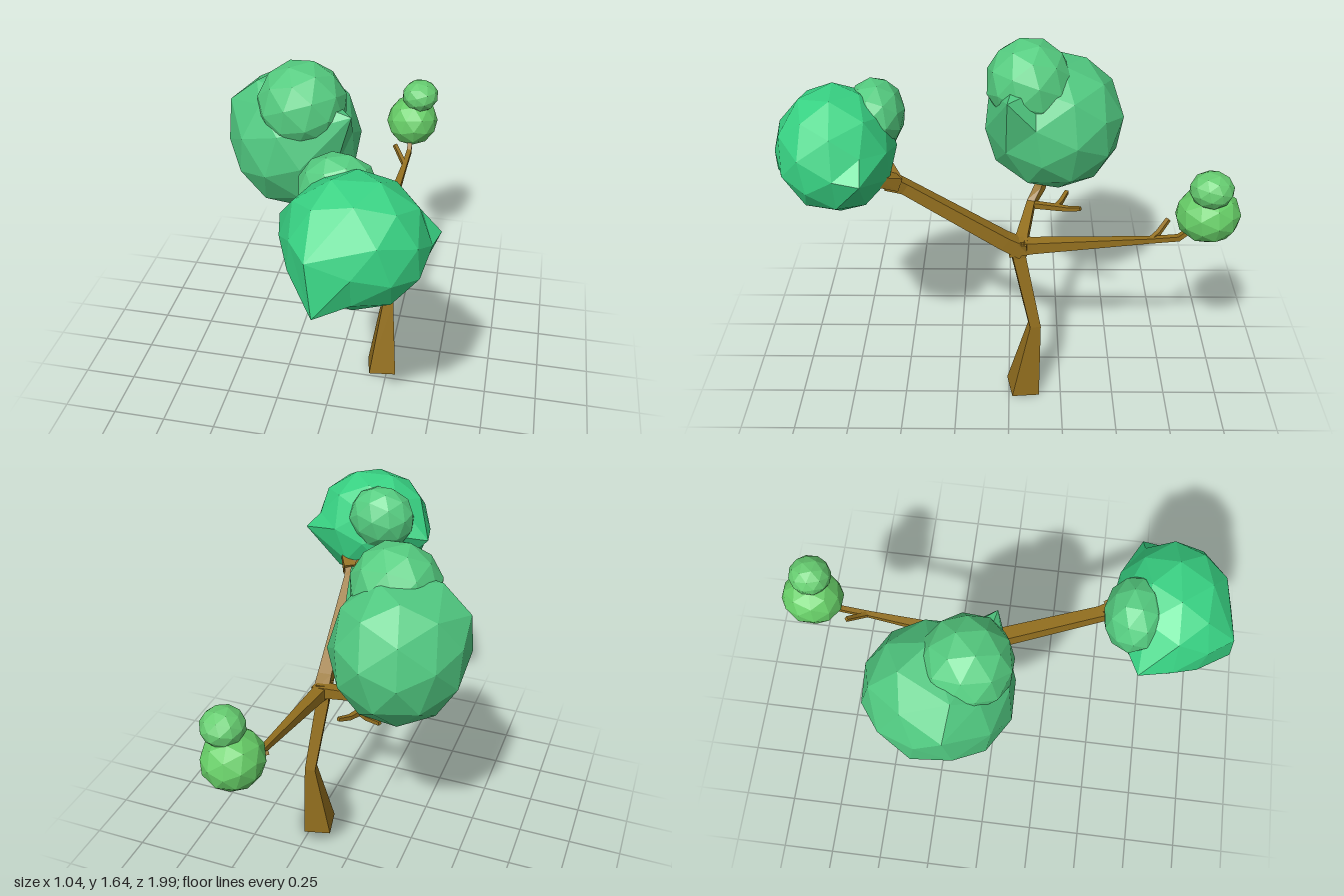
import * as THREE from 'three';

const V = (a) => new THREE.Vector3(a[0], a[1], a[2]);
const material = (color) => new THREE.MeshStandardMaterial({ color, flatShading: true });
const bark = material(0x94701f);

// Square-section limb through points [x, y, z, halfWidth]
function limb(name, pts, ref = [0, 1, 0]) {
  const pos = [], idx = [], n = pts.length;
  pts.forEach((p, i) => {
    const t = V(pts[Math.min(i + 1, n - 1)]).sub(V(pts[Math.max(i - 1, 0)])).normalize();
    const u = V(ref).cross(t).normalize();
    const v = t.clone().cross(u);
    for (const [a, b] of [[1, 1], [-1, 1], [-1, -1], [1, -1]]) {
      pos.push(...V(p).addScaledVector(u, a * p[3]).addScaledVector(v, b * p[3]).toArray());
    }
  });
  for (let i = 0; i < n - 1; i++) {
    for (let k = 0; k < 4; k++) {
      const a = i * 4 + k, b = i * 4 + (k + 1) % 4;
      idx.push(a, b, b + 4, a, b + 4, a + 4);
    }
  }
  const e = (n - 1) * 4;
  idx.push(0, 2, 1, 0, 3, 2, e, e + 1, e + 2, e, e + 2, e + 3);
  const indexed = new THREE.BufferGeometry();
  indexed.setAttribute('position', new THREE.Float32BufferAttribute(pos, 3));
  indexed.setIndex(idx);
  const geo = indexed.toNonIndexed();
  geo.computeVertexNormals();
  const mesh = new THREE.Mesh(geo, bark);
  mesh.name = name;
  return mesh;
}

// Faceted leaf ball; each pull drags the closest corner out to a given point
function leafBall(name, color, center, radii, turn, pulls = []) {
  const geo = new THREE.IcosahedronGeometry(1, 1);
  geo.rotateX(0.55).rotateY(turn).scale(...radii).translate(...center);
  const p = geo.attributes.position, v = new THREE.Vector3();
  for (const target of pulls.map(V)) {
    const near = new THREE.Vector3(1e3, 0, 0);
    for (let i = 0; i < p.count; i++) {
      v.fromBufferAttribute(p, i);
      if (v.distanceTo(target) < near.distanceTo(target)) near.copy(v);
    }
    for (let i = 0; i < p.count; i++) {
      v.fromBufferAttribute(p, i);
      if (v.distanceTo(near) < 1e-4) p.setXYZ(i, target.x, target.y, target.z);
    }
  }
  geo.computeVertexNormals();
  const mesh = new THREE.Mesh(geo, material(color));
  mesh.name = name;
  return mesh;
}

export function createModel() {
  const tree = new THREE.Group();
  tree.name = 'tree';

  // Trunk, bent at mid height and flaring at the base
  tree.add(limb('trunk', [
    [0.22, 0.01, -0.068, 0.066], [0.233, 0.41, -0.118, 0.025],
    [0.19, 0.77, -0.042, 0.029], [0.19, 0.86, -0.035, 0.03],
  ], [0.2, 0, 1]));

  // Main branches
  tree.add(limb('frontBranch', [
    [0.19, 0.81, -0.06, 0.036], [0.2, 0.86, 0.02, 0.033],
    [0.235, 1.16, 0.44, 0.026], [0.25, 1.2, 0.51, 0.034],
  ]));
  tree.add(limb('rearBranch', [
    [0.19, 0.82, 0, 0.036], [0.195, 0.83, -0.1, 0.028],
    [0.225, 0.885, -0.62, 0.012], [0.23, 0.9, -0.74, 0.012], [0.225, 0.95, -0.8, 0.01],
  ]));
  tree.add(limb('sideBranch', [
    [0.22, 0.82, -0.045, 0.034], [0.14, 0.84, -0.06, 0.026],
    [-0.07, 0.885, -0.1, 0.018], [-0.12, 0.94, -0.14, 0.02], [-0.17, 1.05, -0.18, 0.015],
  ]));

  // Twigs
  tree.add(limb('frontTwigOuter', [[0.25, 1.19, 0.47, 0.03], [0.31, 1.24, 0.56, 0.022], [0.3, 1.3, 0.66, 0.015]]));
  tree.add(limb('frontTwigInner', [[0.24, 1.17, 0.47, 0.025], [0.18, 1.25, 0.52, 0.018], [0.14, 1.4, 0.55, 0.012]]));
  tree.add(limb('rearTwig', [[0.224, 0.885, -0.62, 0.01], [0.2, 0.905, -0.655, 0.01], [0.16, 0.95, -0.7, 0.009]]));
  tree.add(limb('sideTwigLong', [
    [-0.06, 0.885, -0.1, 0.014], [-0.05, 0.875, -0.22, 0.012],
    [-0.03, 0.88, -0.27, 0.01], [0, 0.9, -0.325, 0.008],
  ]));
  tree.add(limb('sideTwigShort', [[-0.05, 0.875, -0.21, 0.01], [-0.1, 0.875, -0.24, 0.01], [-0.17, 0.885, -0.27, 0.009]]));

  // Foliage clusters: a large ball with a smaller one on top
  tree.add(leafBall('sideFoliage', 0x50c880, [-0.23, 1.235, -0.2], [0.3, 0.325, 0.325], 0.3,
    [[0.065, 1.46, 0.01], [-0.51, 1.42, -0.14], [-0.38, 1.53, -0.12]]));
  tree.add(leafBall('sideFoliageTop', 0x55cc80, [-0.17, 1.45, -0.085], [0.2, 0.2, 0.195], 0.8));
  tree.add(leafBall('frontFoliage', 0x38d283, [0.215, 1.335, 0.715], [0.285, 0.267, 0.25], 0.1,
    [[0.52, 1.325, 0.58], [-0.1, 1.34, 0.6], [0.11, 1.17, 1.0], [0.08, 1.39, 0.97]]));
  tree.add(leafBall('frontFoliageTop', 0x55cc80, [0.12, 1.445, 0.555], [0.16, 0.15, 0.125], 0.5));
  tree.add(leafBall('rearFoliage', 0x66cc66, [0.225, 1.02, -0.855], [0.13, 0.125, 0.142], 0.2));
  tree.add(leafBall('rearFoliageTop', 0x66cc70, [0.26, 1.165, -0.85], [0.092, 0.08, 0.095], 0.9));
  return tree;
}
